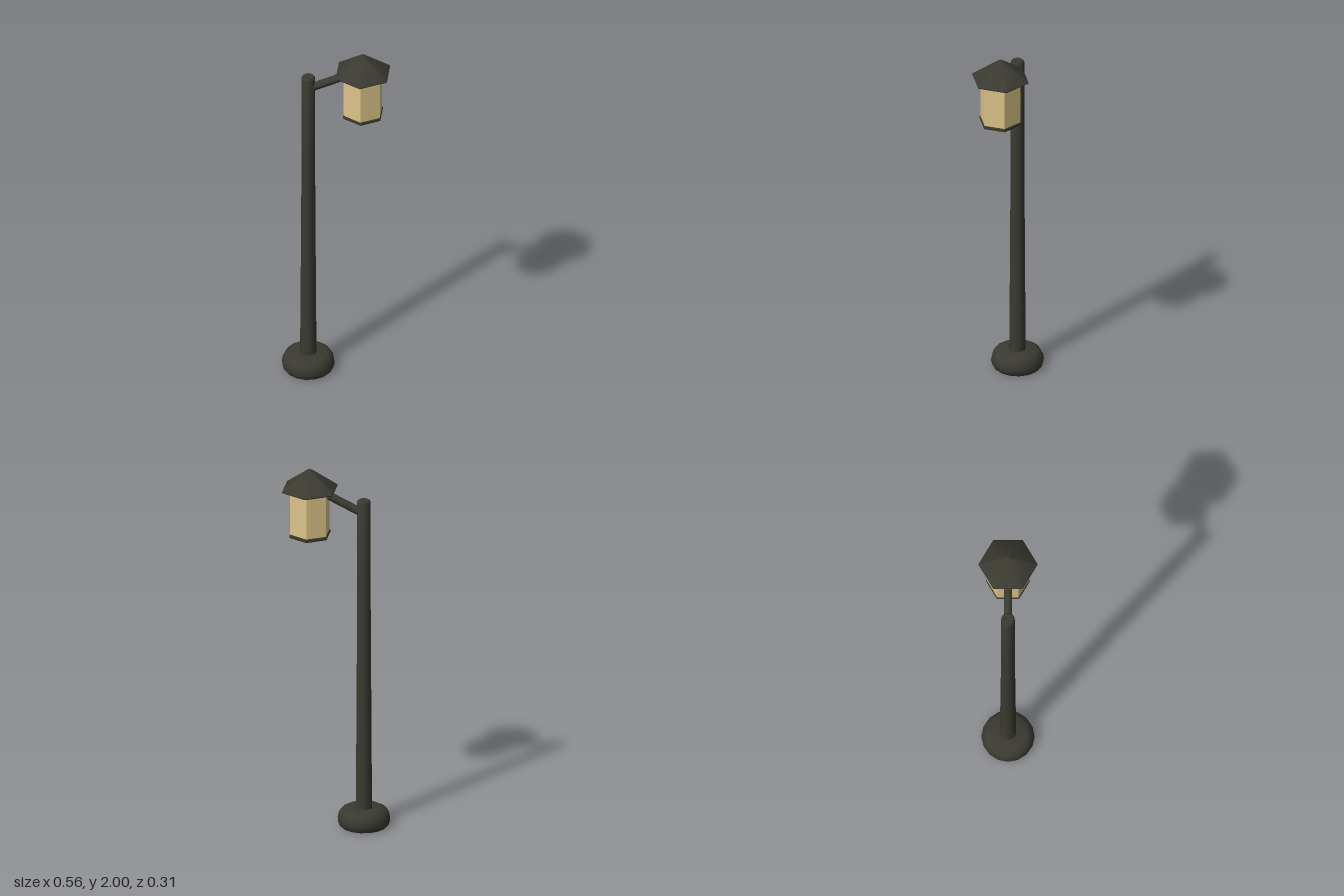
import * as THREE from 'three';
import { toCreasedNormals } from 'three/addons/utils/BufferGeometryUtils.js';

export function createModel() {
  const group = new THREE.Group();
  const iron = new THREE.MeshStandardMaterial({ color: 0x3a3a31 });
  iron.name = 'dark iron';
  const glass = new THREE.MeshStandardMaterial({ color: 0xdcc488 });
  glass.name = 'warm glass';
  const postX = -0.143, lampX = 0.146;

  const add = (name, geometry, material, x = 0) => {
    const mesh = new THREE.Mesh(toCreasedNormals(geometry, 0.7), material);
    mesh.name = name;
    mesh.position.x = x;
    group.add(mesh);
    return mesh;
  };
  // closed profile of [radius, height] pairs turned round the y axis
  const turned = (profile, sides) =>
    new THREE.LatheGeometry(profile.map(([r, y]) => new THREE.Vector2(r, y)), sides);

  // rounded foot
  add('base', turned([[0, 0], [0.125, 0], [0.134, 0.012], [0.14, 0.035], [0.135, 0.062],
    [0.122, 0.086], [0.1, 0.098], [0.04, 0.1], [0, 0.1]], 16), iron, postX);

  // tapering post with a softened top
  add('post', turned([[0, 0.05], [0.044, 0.05], [0.041, 0.45], [0.036, 1.3], [0.036, 1.832],
    [0.029, 1.841], [0, 1.841]], 16), iron, postX);

  // slanted arm reaching into the lantern
  const start = new THREE.Vector3(postX, 1.764, 0);
  const end = new THREE.Vector3(0.07, 1.867, 0);
  const arm = add('arm', new THREE.CylinderGeometry(0.022, 0.022, start.distanceTo(end), 12), iron);
  arm.position.copy(start).lerp(end, 0.5);
  arm.quaternion.setFromUnitVectors(new THREE.Vector3(0, 1, 0), end.sub(start).normalize());

  // six-sided lantern, corners pointing to front and back
  add('lanternFloor', turned([[0, 1.622], [0.111, 1.622], [0.115, 1.626], [0.115, 1.638],
    [0.111, 1.642], [0, 1.642]], 6), iron, lampX);
  add('lanternGlass', turned([[0, 1.64], [0.111, 1.64], [0.111, 1.888], [0, 1.888]], 6), glass, lampX);
  add('lanternRoof', turned([[0, 1.882], [0.154, 1.882], [0.157, 1.887], [0.153, 1.892],
    [0.013, 1.994], [0, 2]], 6), iron, lampX);

  return group;
}
